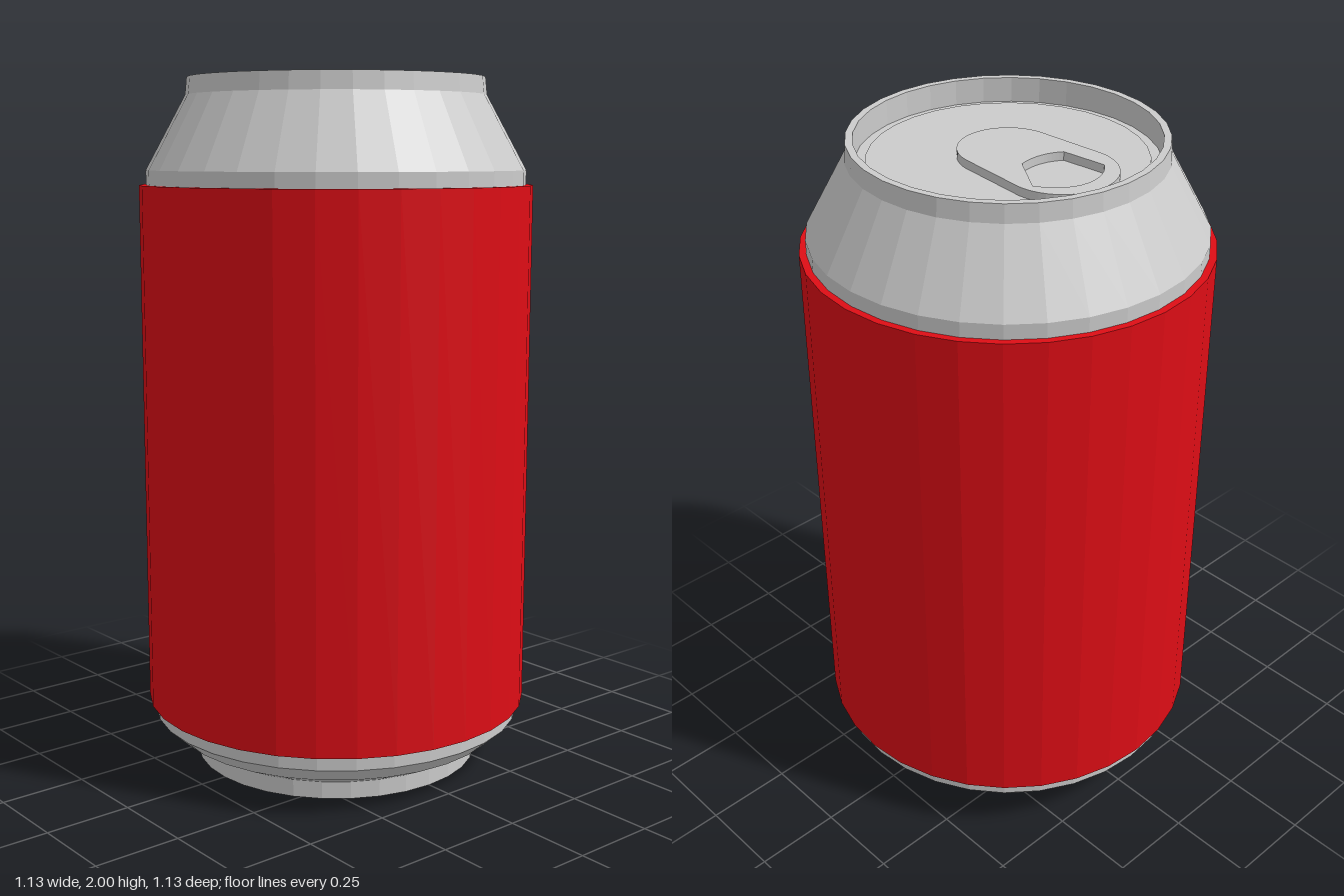
import * as THREE from 'three';

const SIDES = 32;
const metal = new THREE.MeshStandardMaterial({ color: 0xcccccc, flatShading: true });
const red = new THREE.MeshStandardMaterial({ color: 0xdd0d15, flatShading: true });

// Revolve a [radius, height] profile, listed from the bottom up
function lathe(name, profile, material) {
  const points = profile.map(([r, y]) => new THREE.Vector2(r, y));
  const mesh = new THREE.Mesh(new THREE.LatheGeometry(points, SIDES), material);
  mesh.name = name;
  return mesh;
}

export function createModel() {
  const can = new THREE.Group();
  can.name = 'drinkCan';

  // Domed base, foot, straight wall, shoulder and rolled top rim
  can.add(lathe('body', [
    [0, 0.06], [0.13, 0.055], [0.26, 0.04], [0.35, 0.02], [0.39, 0], [0.42, 0],
    [0.42, 0.05], [0.49, 0.085], [0.545, 0.135], [0.545, 1.74],
    [0.43, 1.95], [0.425, 2], [0.405, 2], [0.405, 1.93],
  ], metal));

  // Lid plate, raised slightly inside its groove
  can.add(lathe('lid', [
    [0.405, 1.93], [0.375, 1.93], [0.375, 1.938], [0, 1.938],
  ], metal));

  // Printed sleeve around the wall
  can.add(lathe('sleeve', [
    [0.545, 0.177], [0.565, 0.177], [0.565, 1.698], [0.545, 1.698],
  ], red));

  // Pull tab: tapered rounded outline with a finger hole (shape y becomes -z)
  const outline = new THREE.Shape();
  outline.absarc(-0.195, 0, 0.15, Math.PI / 2, Math.PI * 1.5, false);
  outline.absarc(0, 0, 0.135, -Math.PI / 2, Math.PI / 2, false);
  outline.closePath();

  const hole = new THREE.Path();
  hole.moveTo(-0.215, 0.122);
  hole.lineTo(-0.1, 0.047);
  hole.quadraticCurveTo(-0.08, -0.03, -0.12, -0.085);
  hole.lineTo(-0.25, -0.1);
  hole.bezierCurveTo(-0.31, -0.05, -0.33, 0.06, -0.215, 0.122);
  outline.holes.push(hole);

  const tabGeometry = new THREE.ExtrudeGeometry(outline, {
    depth: 0.026, bevelEnabled: false, curveSegments: 12,
  });
  tabGeometry.rotateX(-Math.PI / 2);
  const tab = new THREE.Mesh(tabGeometry, metal);
  tab.name = 'pullTab';
  tab.position.y = 1.936;
  can.add(tab);

  return can;
}
